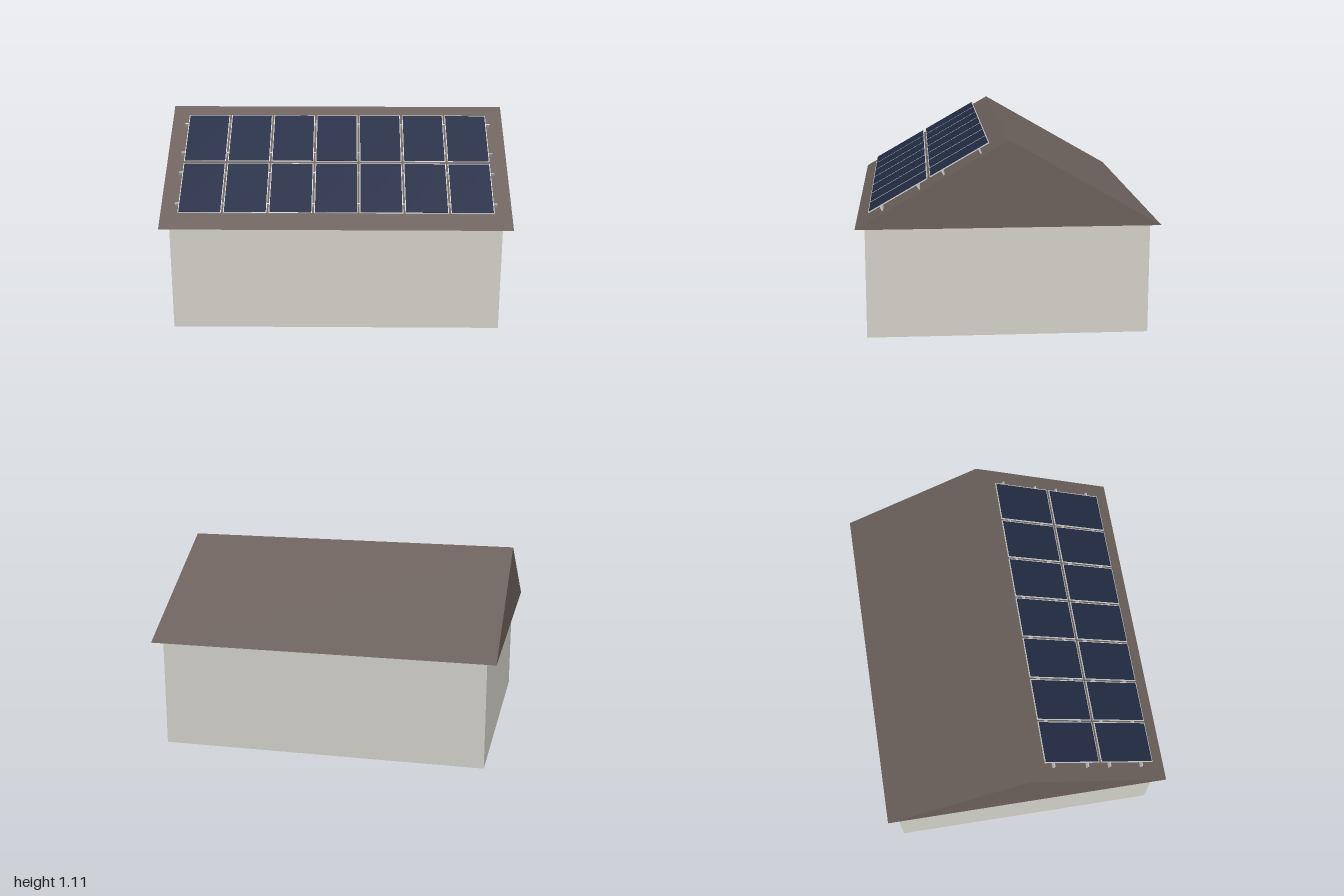
import * as THREE from 'three';

const paint = (color) => new THREE.MeshStandardMaterial({ color });

export function createModel() {
  const house = new THREE.Group();
  house.name = 'house';
  const wallMat = paint(0xd2d0c8), roofMat = paint(0x6b605b);
  const frameMat = paint(0xcccccc), cellMat = paint(0x232c45);

  const box = (parent, name, mat, [w, h, d], [x, y, z]) => {
    const mesh = new THREE.Mesh(new THREE.BoxGeometry(w, h, d), mat);
    mesh.name = name;
    mesh.position.set(x, y, z);
    parent.add(mesh);
  };

  const eaveY = 0.63, ridgeY = 1.113, halfDepth = 0.842;

  // Walls
  box(house, 'walls', wallMat, [1.89, eaveY, 1.58], [0, eaveY / 2, 0]);

  // Gable roof: a triangle extruded along x
  const gable = new THREE.Shape([
    new THREE.Vector2(-halfDepth, eaveY),
    new THREE.Vector2(halfDepth, eaveY),
    new THREE.Vector2(0, ridgeY),
  ]);
  const roofGeo = new THREE.ExtrudeGeometry(gable, { depth: 2, bevelEnabled: false });
  roofGeo.translate(0, 0, -1).rotateY(Math.PI / 2);
  const roof = new THREE.Mesh(roofGeo, roofMat);
  roof.name = 'roof';
  house.add(roof);

  // Solar array: local z runs down the front slope from the ridge, y is its normal
  const array = new THREE.Group();
  array.name = 'solarArray';
  array.position.y = ridgeY;
  array.rotation.x = Math.atan2(ridgeY - eaveY, halfDepth);
  house.add(array);

  const panelW = 0.247, panelL = 0.376, thick = 0.006, rim = 0.005, lift = 0.027;
  for (const rowZ of [0.292, 0.683]) {
    // Two mounting rails under each row
    for (const side of [-1, 1]) {
      box(array, 'rail', frameMat, [1.84, 0.024, 0.007], [0, 0.012, rowZ - 0.004 + side * 0.117]);
    }
    // Seven framed panels
    for (let i = -3; i <= 3; i++) {
      const panel = new THREE.Group();
      panel.name = 'solarPanel';
      panel.position.set(i * 0.258, lift, rowZ);
      box(panel, 'panelFrame', frameMat, [panelW, thick, panelL], [0, 0, 0]);
      box(panel, 'panelCells', cellMat,
        [panelW - 2 * rim, 0.002, panelL - 2 * rim], [0, thick / 2, 0]);
      array.add(panel);
    }
  }
  return house;
}
